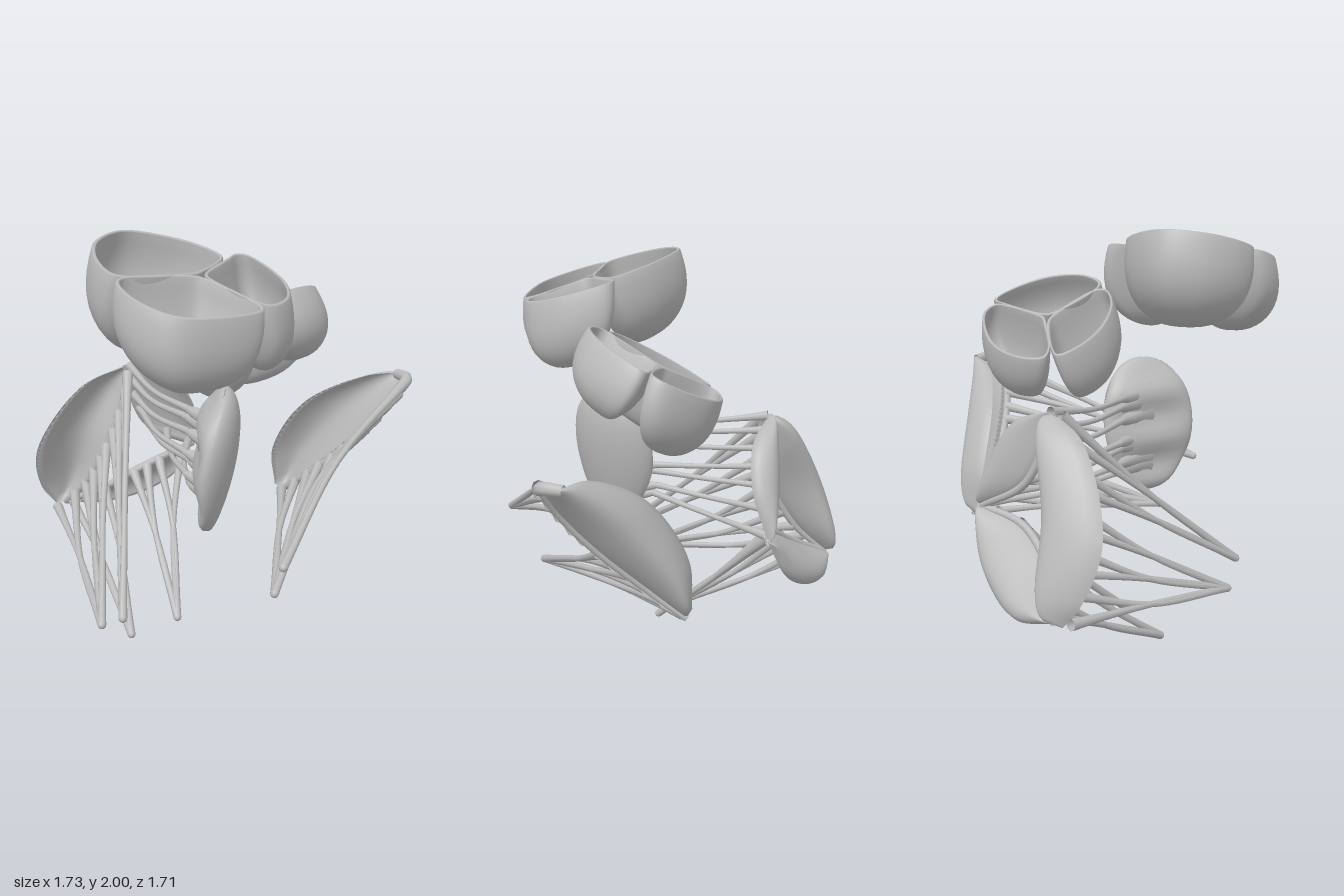
import * as THREE from 'three';

const tissue = new THREE.MeshStandardMaterial({ color: 0xbbbbbb, side: THREE.DoubleSide });
tissue.name = 'grey tissue';

const V = (p) => new THREE.Vector3(...p);
const spline = (pts, closed = false) => new THREE.CatmullRomCurve3(pts.map(V), closed);

function add(parent, name, geometry) {
  const mesh = new THREE.Mesh(geometry, tissue);
  mesh.name = name;
  parent.add(mesh);
  return mesh;
}

// Skin a list of closed cross-section loops, with the faces turned outwards
function skin(loops) {
  const n = loops[0].length, idx = [], pts = loops.flat();
  for (let i = 0; i < loops.length - 1; i++) {
    for (let j = 0; j < n; j++) {
      const k = (j + 1) % n, a = i * n, b = a + n;
      idx.push(a + j, a + k, b + j, a + k, b + k, b + j);
    }
  }
  let volume = 0;
  const cross = new THREE.Vector3();
  for (let i = 0; i < idx.length; i += 3) {
    volume += pts[idx[i]].dot(cross.crossVectors(pts[idx[i + 1]], pts[idx[i + 2]]));
  }
  if (volume < 0) idx.reverse();
  const g = new THREE.BufferGeometry().setFromPoints(pts);
  g.setIndex(idx);
  g.computeVertexNormals();
  return g;
}

// Pocket cusp: rim outline [x, z] on a sloping plane, bulging down to a rounded bottom
function cusp(parent, name, rim, plane, down, depth, heart) {
  const count = 72;
  const curve = spline(rim.map(([x, z]) => [x, plane(x), z]), true);
  const pts = curve.getSpacedPoints(count).slice(0, count);
  const mid = pts.reduce((s, p) => s.add(p), new THREE.Vector3()).divideScalar(count);
  const out = mid.clone().sub(V([heart[0], mid.y, heart[1]]));
  out.y = 0;
  out.normalize();
  const steps = 14, loops = [];
  const ring = (scale, d, inset) => loops.push(pts.map((p) => {
    const q = p.clone().sub(mid);
    const len = q.length();
    q.multiplyScalar(scale * (len - inset) / len);
    const lean = Math.sin(Math.min(d, 1) * Math.PI * 0.65) * 0.04;
    return q.add(mid).addScaledVector(V(down), d * depth).addScaledVector(out, lean);
  }));
  const profile = (t) => {
    const a = t * Math.PI / 2;
    return [Math.pow(Math.sin(a), 0.8) * (1 + 0.08 * Math.sin(2 * a)), Math.pow(Math.cos(a), 0.95)];
  };
  for (let i = 0; i <= steps; i++) ring(...profile(i / steps), 0);
  ring(0.99, -0.015, 0.004);
  ring(0.985, -0.014, 0.01);
  for (let i = steps; i >= 0; i--) {
    const [s, d] = profile(i / steps);
    ring(s, d * 0.95, 0.018);
  }
  add(parent, name, skin(loops));
}

// Cord whose radius flares towards both ends
function cord(parent, name, pts, r = 0.014, startR = 0.028, endR = 0.02) {
  const curve = spline(pts), seg = 24, rad = 8;
  const g = new THREE.TubeGeometry(curve, seg, 1, rad);
  const pos = g.attributes.position, p = new THREE.Vector3();
  for (let i = 0; i <= seg; i++) {
    const t = i / seg, c = curve.getPointAt(t);
    const k = r + (startR - r) * Math.pow(1 - t, 5) + (endR - r) * Math.pow(t, 4);
    for (let j = 0; j <= rad; j++) {
      const n = i * (rad + 1) + j;
      p.fromBufferAttribute(pos, n).sub(c).multiplyScalar(k).add(c);
      pos.setXYZ(n, p.x, p.y, p.z);
    }
  }
  add(parent, name, g);
}

// Curved leaflet between an outer (attached) edge and a thickened inner (free) edge
function leaflet(parent, name, outer, inner, bulge, thick = 0.018) {
  const a = spline(outer), b = spline(inner), dir = V(bulge).normalize();
  const loops = [], nu = 40, nv = 14;
  for (let i = 0; i <= nu; i++) {
    const u = i / nu, p = a.getPoint(u), q = b.getPoint(u);
    const swell = Math.pow(Math.max(0, Math.sin(Math.PI * u)), 0.4);
    const loop = [];
    for (let j = 0; j < nv * 2; j++) {
      const v = j <= nv ? j / nv : 2 - j / nv;
      const side = j <= nv ? 1 : -1;
      const arch = Math.max(0, Math.sin(Math.PI * v));
      loop.push(p.clone().lerp(q, v)
        .addScaledVector(V(bulge), Math.pow(arch, 0.8) * swell)
        .addScaledVector(dir, side * thick * swell * Math.sqrt(arch)));
    }
    loops.push(loop);
  }
  add(parent, name, skin(loops));
  cord(parent, name + 'FreeEdge', inner, 0.02, 0.016, 0.016);
}

// Fan of cords: neighbours join in pairs before reaching the shared tip
function fan(parent, name, roots, tip, join, bow) {
  for (let i = 0; i < roots.length; i += 2) {
    const pair = roots.slice(i, i + 2);
    const knot = pair.reduce((s, p) => s.add(V(p)), new THREE.Vector3())
      .divideScalar(pair.length).lerp(V(tip), join).add(V(bow));
    pair.forEach((root) => cord(parent, name, [root, knot.toArray(), tip]));
  }
  const ball = add(parent, name + 'Tip', new THREE.SphereGeometry(0.02, 12, 8));
  ball.position.set(...tip);
}

function group(root, name) {
  const g = new THREE.Group();
  g.name = name;
  root.add(g);
  return g;
}

export function createModel() {
  const model = new THREE.Group();
  model.name = 'heartValves';

  // Upper front valve with three pockets
  const upper = group(model, 'upperPocketValve');
  const planeA = (x) => 1.985 - 0.29 * x, downA = [-0.06, -1, 0], midA = [0.4, 0.41];
  cusp(upper, 'rightCusp', [[0.25, 0.17], [0.31, 0.18], [0.39, 0.385], [0.395, 0.43], [0.31, 0.75], [0.27, 0.78],
    [0.13, 0.74], [0, 0.62], [-0.045, 0.43], [0.1, 0.24]], planeA, downA, 0.385, midA);
  cusp(upper, 'backCusp', [[0.3, 0.09], [0.32, 0.16], [0.4, 0.385], [0.43, 0.405], [0.69, 0.36], [0.72, 0.32],
    [0.69, 0.19], [0.57, 0.08], [0.4, 0.04], [0.32, 0.05]], planeA, downA, 0.36, midA);
  cusp(upper, 'frontCusp', [[0.395, 0.45], [0.43, 0.415], [0.69, 0.365], [0.73, 0.39], [0.72, 0.58], [0.64, 0.78],
    [0.47, 0.84], [0.33, 0.8], [0.31, 0.75]], planeA, downA, 0.355, midA);

  // Lower rear valve with three pockets
  const lower = group(model, 'lowerPocketValve');
  const planeB = (x) => 1.49 + 0.55 * x, midB = [0.11, -0.18];
  cusp(lower, 'rightCusp', [[0.18, -0.51], [0.18, -0.46], [0.115, -0.21], [0.08, -0.18], [-0.11, -0.08], [-0.16, -0.09],
    [-0.17, -0.22], [-0.1, -0.39], [0.04, -0.51], [0.13, -0.54]], planeB, [0.44, -0.9, 0], 0.33, midB);
  cusp(lower, 'leftCusp', [[0.18, -0.46], [0.12, -0.21], [0.135, -0.165], [0.34, -0.005], [0.38, -0.01],
    [0.43, -0.12], [0.41, -0.3], [0.31, -0.46], [0.21, -0.53]], planeB, [0.32, -0.95, 0], 0.28, midB);
  cusp(lower, 'frontCusp', [[-0.11, -0.07], [0.075, -0.175], [0.125, -0.17], [0.33, -0.01], [0.33, 0.04],
    [0.23, 0.11], [0.06, 0.12], [-0.08, 0.05], [-0.14, -0.03]], planeB, [0.3, -0.9, 0], 0.36, midB);

  // Large three-leaflet valve on the right side
  const tri = group(model, 'threeLeafletValve');
  const top = [-0.45, 1.23, 0.09], low = [-0.81, 0.41, 0.24], back = [-0.38, 0.72, -0.32];
  leaflet(tri, 'frontLeaflet', [top, [-0.57, 1.14, 0.28], [-0.76, 0.79, 0.44], [-0.83, 0.54, 0.38], [-0.83, 0.41, 0.29]],
    [[-0.41, 1.21, 0.1], [-0.44, 1.0, 0.14], [-0.5, 0.8, 0.2], [-0.64, 0.57, 0.23], low], [-0.09, 0.03, -0.15]);
  leaflet(tri, 'lowerLeaflet', [low, [-0.75, 0.36, 0.04], [-0.62, 0.4, -0.13], [-0.48, 0.52, -0.27], back],
    [low, [-0.6, 0.53, 0.13], [-0.49, 0.62, 0.02], [-0.42, 0.68, -0.1], back], [-0.05, 0.01, -0.06]);
  leaflet(tri, 'rearLeaflet', [top, [-0.33, 1.14, -0.13], [-0.31, 0.96, -0.26], back],
    [top, [-0.46, 1.06, 0.04], [-0.45, 0.88, -0.06], back], [-0.05, 0.03, -0.06]);
  fan(tri, 'frontUpperCords', [[-0.41, 1.21, 0.11], [-0.42, 1.12, 0.12], [-0.44, 1.0, 0.15], [-0.46, 0.9, 0.18]],
    [0.27, 0.37, 0.765], 0.5, [0, -0.01, 0]);
  fan(tri, 'frontLowerCords', [[-0.49, 0.82, 0.2], [-0.53, 0.74, 0.21], [-0.58, 0.66, 0.22], [-0.64, 0.57, 0.23],
    [-0.7, 0.5, 0.26], [-0.79, 0.41, 0.31]], [0.12, 0.27, 0.765], 0.45, [0.02, -0.03, 0.02]);
  fan(tri, 'lowerCords', [[-0.78, 0.43, 0.22], [-0.7, 0.47, 0.18], [-0.6, 0.53, 0.13], [-0.54, 0.58, 0.08]],
    [-0.02, 0.022, 0.47], 0.45, [0, -0.02, 0]);
  fan(tri, 'lowerRearCords', [[-0.49, 0.62, 0.02], [-0.45, 0.65, -0.04], [-0.42, 0.68, -0.1], [-0.39, 0.71, -0.24]],
    [0.09, 0.075, 0.26], 0.45, [0, -0.02, 0]);

  // Wall plate that the rear cords reach: a bowed, rippled disc, thicker at the top
  const plate = new THREE.SphereGeometry(1, 32, 24);
  const pp = plate.attributes.position;
  for (let i = 0; i < pp.count; i++) {
    const x = pp.getX(i), y = pp.getY(i), z = pp.getZ(i);
    const across = x * 0.245 * (1 + 0.1 * y);
    const ripple = z < 0 ? 0.018 * Math.sin(y * 9) * (1 - x * x) : 0;
    const n = z * 0.09 * (1 + 0.3 * y) - 0.05 * x * x + ripple + 0.03;
    pp.setXYZ(i, 0.32 + 0.707 * (across + n) + 0.02 * y, 1 + 0.34 * y, 0.27 + 0.707 * (across - n) - 0.03 * y);
  }
  plate.computeVertexNormals();
  const wall = group(model, 'wallPlate');
  add(wall, 'plate', plate);

  // Nearly level cords ending in small cones on the plate
  const rear = [
    [[-0.44, 1.23, 0.07], 1.17], [[-0.45, 1.16, 0.06], 1.13], [[-0.46, 1.07, 0.04], 1.06],
    [[-0.46, 0.99, 0.0], 0.95], [[-0.45, 0.9, -0.05], 0.92],
    [[-0.42, 0.82, -0.16], 0.84], [[-0.38, 0.74, -0.28], 0.8],
  ];
  rear.forEach(([start, y], i) => {
    const end = [0.12 - 0.02 * (i % 2), y, 0.2];
    const mid = [(start[0] + end[0]) / 2, (start[1] + y) / 2 - 0.015, (start[2] + end[2]) / 2 + 0.03];
    cord(tri, 'rearCord', [start, mid, end], 0.0125, 0.025, 0.018);
    cord(wall, 'cordRoot', [end, [0.19, y - 0.005, 0.21], [0.31, y, 0.24]], 0.032, 0.016, 0.08);
  });

  // Leaflet at the rear left, arched backwards, with its two fans
  const rearValve = group(model, 'rearLeftValve');
  leaflet(rearValve, 'leaflet',
    [[0.58, 1.22, -0.84], [0.45, 1.2, -0.69], [0.2, 1.04, -0.55], [0.02, 0.74, -0.52], [0.01, 0.52, -0.56]],
    [[0.66, 1.18, -0.72], [0.58, 1.03, -0.65], [0.42, 0.83, -0.6], [0.2, 0.62, -0.57], [0.04, 0.49, -0.59]],
    [-0.01, 0.05, -0.15]);
  cord(rearValve, 'leafletEdge', [[0.56, 1.21, -0.83], [0.64, 1.21, -0.79], [0.66, 1.17, -0.7]], 0.03, 0.025, 0.025);
  fan(rearValve, 'upperCords', [[0.66, 1.2, -0.74], [0.66, 1.16, -0.7], [0.62, 1.1, -0.67], [0.58, 1.03, -0.65],
    [0.53, 0.96, -0.63], [0.48, 0.9, -0.61]], [0.85, 0.695, 0.37], 0.5, [-0.05, 0.04, 0]);
  fan(rearValve, 'lowerCords', [[0.42, 0.83, -0.6], [0.36, 0.77, -0.59], [0.29, 0.71, -0.58], [0.22, 0.64, -0.57],
    [0.14, 0.57, -0.57], [0.05, 0.5, -0.57]], [0.69, 0.445, 0.23], 0.48, [-0.02, 0.0, 0]);

  return model;
}
